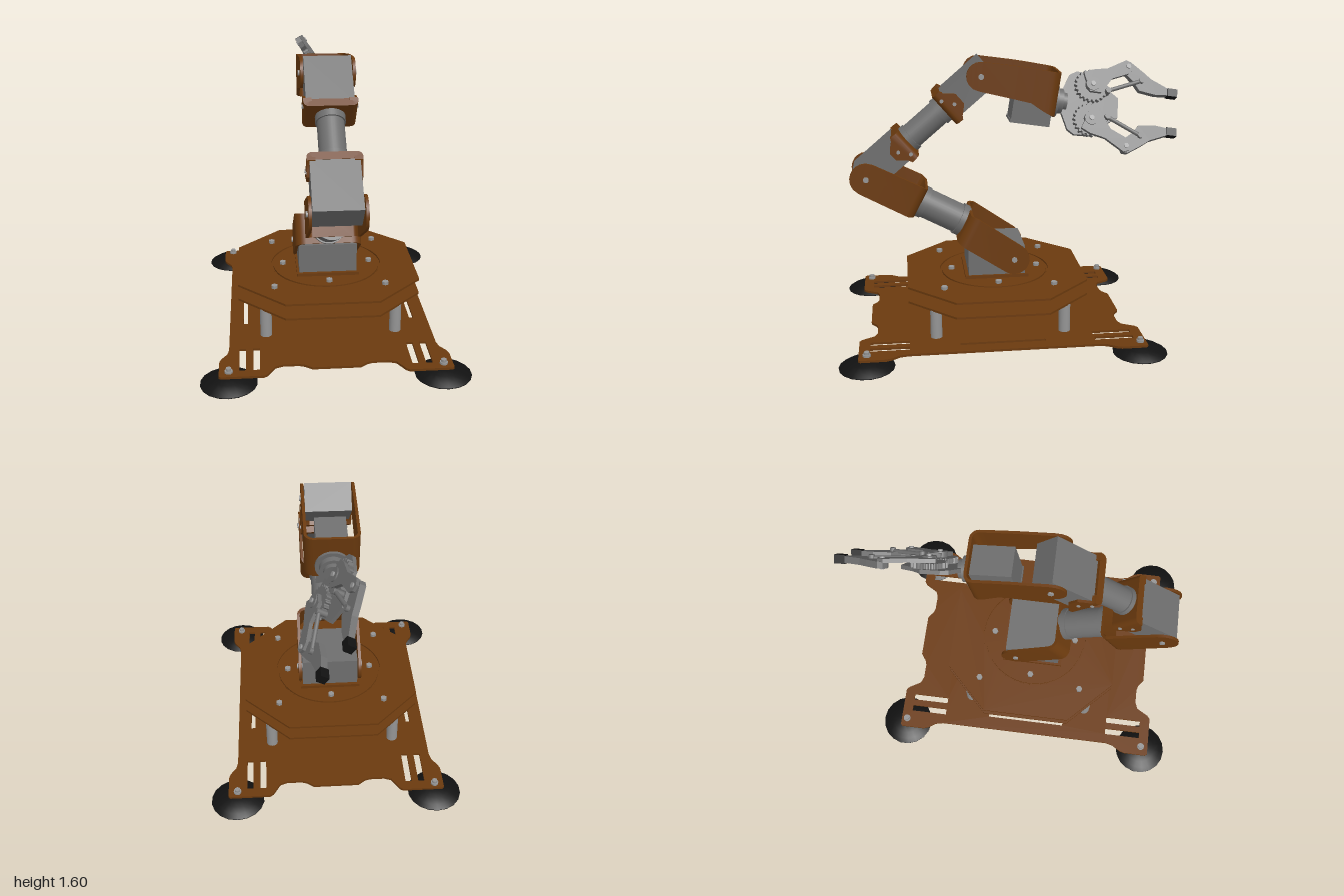
import * as THREE from 'three';
import { toCreasedNormals } from 'three/addons/utils/BufferGeometryUtils.js';

const mat = (name, color) => Object.assign(new THREE.MeshStandardMaterial({ color }), { name });
const V = (x, y, z) => new THREE.Vector3(x, y, z);
const CZ = 0.085; // centre of the base in z

export function createModel() {
  const brown = mat('brown panel', 0x6b3a0e);
  const grey = mat('servo grey', 0x6e6e6e);
  const steel = mat('steel', 0x949494);
  const black = mat('black rubber', 0x111111);
  const root = new THREE.Group();
  root.name = 'robotArm';

  const add = (parent, name, geo, material, x = 0, y = 0, z = 0) => {
    const m = new THREE.Mesh(geo, material);
    m.name = name;
    m.position.set(x, y, z);
    parent.add(m);
    return m;
  };
  const group = (parent, name, x = 0, y = 0, z = 0) => {
    const g = new THREE.Group();
    g.name = name;
    g.position.set(x, y, z);
    parent.add(g);
    return g;
  };
  const box = (p, name, m, x0, x1, y0, y1, z0, z1) =>
    add(p, name, new THREE.BoxGeometry(x1 - x0, y1 - y0, z1 - z0), m, (x0 + x1) / 2, (y0 + y1) / 2, (z0 + z1) / 2);
  const cylY = (p, name, m, r, y0, y1, x, z, n = 24) =>
    add(p, name, new THREE.CylinderGeometry(r, r, y1 - y0, n), m, x, (y0 + y1) / 2, z);
  const cylX = (p, name, m, r, x0, x1, y = 0) =>
    add(p, name, new THREE.CylinderGeometry(r, r, x1 - x0, 32).rotateZ(Math.PI / 2), m, (x0 + x1) / 2, y, 0);
  const cylZ = (p, name, m, r, z0, z1, x, y, n = 12) =>
    add(p, name, new THREE.CylinderGeometry(r, r, z1 - z0, n).rotateX(Math.PI / 2), m, x, y, (z0 + z1) / 2);
  const shapeOf = (pts) => new THREE.Shape(pts.map(([x, y]) => new THREE.Vector2(x, y)));
  const extrude = (shape, depth) => new THREE.ExtrudeGeometry(shape, { depth, bevelEnabled: false, curveSegments: 32 });
  // horizontal plate drawn in x and z, hanging down from topY
  const slab = (name, shape, depth, topY) =>
    add(root, name, extrude(shape, depth).rotateX(Math.PI / 2), brown, 0, topY, CZ);

  // U-shaped bracket: profile rows are [u, lowV, highV]; the cross web lies at u = L
  function bracket(parent, name, w, L, c, t, prof) {
    const range = (u) => {
      let i = 0;
      while (i < prof.length - 2 && u > prof[i + 1][0]) i++;
      const [a, b] = [prof[i], prof[i + 1]];
      const k = Math.min(1, Math.max(0, (u - a[0]) / (b[0] - a[0])));
      return [a[1] + (b[1] - a[1]) * k, a[2] + (b[2] - a[2]) * k];
    };
    const half = prof.filter((p) => p[0] < L - c - 0.001).map((p) => [p[0], w, 0, 1]);
    for (let i = 0; i <= 6; i++) {
      const a = (i / 6) * Math.PI / 2, s = Math.sin(a), k = Math.cos(a);
      half.push([L - c + c * s, w - c + c * k, s, k]);
    }
    const path = [...half, ...half.slice().reverse().map(([u, l, s, k]) => [u, -l, s, -k])];
    const pos = [], idx = [];
    path.forEach(([u, l, nu, nl], i) => {
      const [lo, hi] = range(u);
      const ui = u - nu * t, li = l - nl * t;
      pos.push(u, lo, l, u, hi, l, ui, hi, li, ui, lo, li);
      if (i === path.length - 1) return;
      for (let j = 0; j < 4; j++) {
        const a = i * 4 + j, b = i * 4 + ((j + 1) % 4), d = a + 4, e = b + 4;
        idx.push(a, d, b, b, d, e);
      }
    });
    const n = (path.length - 1) * 4;
    idx.push(0, 1, 2, 0, 2, 3, n, n + 2, n + 1, n, n + 3, n + 2);
    const g = new THREE.BufferGeometry();
    g.setAttribute('position', new THREE.Float32BufferAttribute(pos, 3));
    g.setIndex(idx);
    return add(parent, name, toCreasedNormals(g, 0.6), brown);
  }
  const roundEnd = (r) => [-0.99, -0.92, -0.75, -0.45, 0].map((k) => [k * r, -r * Math.sqrt(1 - k * k), r * Math.sqrt(1 - k * k)]);
  // group whose x axis runs along the limb and whose z axis lies across it
  const limb = (name, y, z, uy, uz, sign) => {
    const g = group(root, name, 0, y, z);
    const u = V(0, uy, uz).normalize(), across = V(sign, 0, 0);
    g.setRotationFromMatrix(new THREE.Matrix4().makeBasis(u, across.clone().cross(u), across));
    return g;
  };
  const pivotBolt = (p, w) => cylZ(p, 'pivotBolt', steel, 0.016, -w, w, 0, 0);

  // ---- base plate with slots ----
  const quarter = [[0.575, 0.53], [0.585, 0.575], [0.615, 0.62], [0.625, 0.65], [0.625, 0.79], [0.615, 0.8],
    [0.385, 0.8], [0.365, 0.785], [0.325, 0.715], [0.285, 0.7], [0.2, 0.7], [0.17, 0.71], [0.13, 0.74]];
  const flip = (pts, sx, sz) => pts.map(([x, z]) => [x * sx, z * sz]);
  const rev = [...quarter].reverse();
  const base = shapeOf([...quarter, ...flip(rev, -1, 1), ...flip(quarter, -1, -1), ...flip(rev, 1, -1)]);
  const slot = (x, z, w, l) => base.holes.push(new THREE.Path(
    [[-w, -l], [-w, l], [w, l], [w, -l]].map(([a, b]) => new THREE.Vector2(x + a, z + b))));
  for (const sx of [1, -1]) {
    slot(sx * 0.485, 0, 0.012, 0.24);
    for (const sz of [1, -1]) {
      slot(sx * 0.425, sz * 0.63, 0.018, 0.11);
      slot(sx * 0.5, sz * 0.63, 0.018, 0.11);
    }
  }
  slab('basePlate', base, 0.013, 0.063);

  // ---- feet, corner nuts, posts, deck bolts ----
  const footProfile = [[0, 0], [0.153, 0], [0.153, 0.004], [0.125, 0.022], [0.09, 0.037], [0.05, 0.047], [0, 0.05]]
    .map(([x, y]) => new THREE.Vector2(x, y));
  for (const sx of [1, -1]) for (const sz of [1, -1]) {
    const x = sx * 0.573, z = 0.08 + sz * 0.76;
    add(root, 'foot', toCreasedNormals(new THREE.LatheGeometry(footProfile, 18), 0.5), black, x, 0, z);
    cylY(root, 'footWasher', steel, 0.022, 0.063, 0.075, x, z, 12);
    cylY(root, 'footNut', steel, 0.016, 0.075, 0.09, x, z, 6);
    cylY(root, 'post', steel, 0.033, 0.063, 0.23, sx * 0.368, CZ + sz * 0.368);
    cylY(root, 'deckBolt', steel, 0.019, 0.327, 0.345, sx * 0.315, CZ + sz * 0.315, 6);
  }
  for (const [x, z] of [[1, 0], [-1, 0], [0, 1], [0, -1]])
    cylY(root, 'turntableBolt', steel, 0.019, 0.327, 0.345, x * 0.257, CZ + z * 0.257, 6);

  // ---- octagonal decks and turntable ----
  const oct = [[0.52, -0.26], [0.52, 0.26], [0.26, 0.52], [-0.26, 0.52], [-0.52, 0.26], [-0.52, -0.26], [-0.26, -0.52], [0.26, -0.52]];
  slab('lowerDeck', shapeOf(oct), 0.012, 0.24);
  const upper = shapeOf(oct);
  upper.holes.push(new THREE.Path().absarc(0, 0, 0.326, 0, Math.PI * 2, true));
  slab('upperDeck', upper, 0.012, 0.327);
  cylY(root, 'turntableRing', brown, 0.318, 0.238, 0.318, 0, CZ, 48);
  cylY(root, 'turntableDisc', brown, 0.314, 0.318, 0.328, 0, CZ, 48);
  add(root, 'bearingRim', new THREE.RingGeometry(0.316, 0.33, 48).rotateX(-Math.PI / 2), brown, 0, 0.317, CZ);
  box(root, 'baseMotorHousing', brown, -0.105, 0.105, 0.06, 0.23, CZ - 0.205, CZ + 0.205);
  box(root, 'turretPlate', brown, -0.18, 0.18, 0.325, 0.346, CZ - 0.185, CZ + 0.185);
  box(root, 'shoulderServo', grey, -0.167, 0.167, 0.346, 0.515, CZ - 0.165, CZ + 0.165);

  // ---- upper arm ----
  const upperArm = limb('upperArm', 0.44, -0.016, 0.469, 0.883, -1);
  bracket(upperArm, 'shoulderBracket', 0.19, 0.342, 0.06, 0.018, [...roundEnd(0.09), [0.3, -0.062, 0.125], [0.342, -0.055, 0.118]]);
  pivotBolt(upperArm, 0.2);
  cylX(upperArm, 'upperArmTube', grey, 0.088, 0.33, 0.63, 0.036);
  cylX(upperArm, 'upperArmCollar', grey, 0.096, 0.342, 0.375, 0.036);
  cylX(upperArm, 'upperArmCollar', grey, 0.096, 0.59, 0.628, 0.036);
  const elbow = group(upperArm, 'elbow', 0.972, 0.048, 0);
  elbow.rotation.z = Math.PI;
  bracket(elbow, 'elbowBracket', 0.15, 0.345, 0.05, 0.016, [...roundEnd(0.092), [0.31, -0.1, 0.095], [0.345, -0.093, 0.09]]);
  pivotBolt(elbow, 0.16);

  // ---- forearm ----
  const forearm = limb('forearm', 0.938, 0.82, 0.65, -0.76, 1);
  const collar = [[0.2, -0.03, 0.02], [0.225, -0.055, 0.045], [0.25, -0.075, 0.065], [0.262, -0.102, 0.085], [0.312, -0.098, 0.083]];
  box(forearm, 'elbowServo', grey, -0.029, 0.27, -0.085, 0.081, -0.13, 0.13);
  bracket(forearm, 'forearmLowerCollar', 0.145, 0.312, 0.03, 0.045, collar);
  cylX(forearm, 'forearmTube', grey, 0.074, 0.3, 0.6, -0.01);
  cylX(forearm, 'forearmRing', grey, 0.082, 0.312, 0.34, -0.01);
  cylX(forearm, 'forearmRing', grey, 0.082, 0.545, 0.585, -0.01);
  const wristMount = group(forearm, 'wristMount', 0.87, 0.007, 0);
  wristMount.rotation.z = Math.PI;
  bracket(wristMount, 'forearmUpperCollar', 0.145, 0.285, 0.03, 0.045,
    collar.map(([u, lo, hi]) => [u - 0.027, lo + 0.01, hi + 0.03]));
  box(forearm, 'wristServo', grey, 0.62, 0.925, -0.083, 0.078, -0.13, 0.13);
  for (const [u, v] of [[0.24, -0.005], [0.285, -0.06], [0.655, -0.01], [0.612, 0.05]])
    cylZ(forearm, 'collarScrew', steel, 0.011, -0.149, 0.149, u, v);

  // ---- wrist ----
  const wrist = limb('wrist', 1.506, 0.166, -0.15, -0.988, 1);
  bracket(wrist, 'wristBracket', 0.15, 0.452, 0.05, 0.016,
    [...roundEnd(0.082), [0.2, -0.1, 0.085], [0.3, -0.11, 0.083], [0.38, -0.15, 0.08], [0.452, -0.176, 0.078]]);
  pivotBolt(wrist, 0.16);
  box(wrist, 'gripperServo', grey, 0.21, 0.436, -0.235, 0.03, -0.086, 0.086);
  box(wrist, 'gripperServoFlange', grey, 0.205, 0.436, -0.243, -0.228, -0.09, 0.09);

  // ---- gripper, rolled about the wrist axis ----
  const gripper = group(wrist, 'gripper', 0.45, -0.1, 0);
  gripper.rotation.x = -31 * Math.PI / 180;
  cylX(gripper, 'wristFlange', grey, 0.095, 0, 0.018);
  cylX(gripper, 'wristHorn', grey, 0.072, 0.018, 0.05);
  cylX(gripper, 'wristHub', grey, 0.052, 0.05, 0.075);
  const palm = [[0.04, 0.05], [0.09, 0.17], [0.13, 0.195], [0.24, 0.19], [0.3, 0.12], [0.385, 0.06]];
  add(gripper, 'palmPlate', extrude(shapeOf([...palm, ...flip([...palm].reverse(), 1, -1)]), 0.022), grey, 0, 0, -0.012);
  const gear = [];
  for (let i = 0; i < 88; i++) {
    const a = (i / 88) * Math.PI * 2, r = i % 4 < 2 ? 0.1 : 0.088;
    gear.push([Math.cos(a) * r, Math.sin(a) * r]);
  }
  const gearGeo = extrude(shapeOf(gear), 0.03);
  const link = [[0.16, 0.17], [0.21, 0.195], [0.3, 0.215], [0.41, 0.282], [0.445, 0.27], [0.455, 0.235], [0.43, 0.2], [0.33, 0.155], [0.27, 0.06], [0.2, 0.06]];
  const finger = [[0.395, 0.25], [0.41, 0.28], [0.44, 0.282], [0.52, 0.228], [0.57, 0.19], [0.68, 0.142],
    [0.68, 0.104], [0.6, 0.095], [0.5, 0.108], [0.46, 0.16], [0.4, 0.215]];
  for (const s of [1, -1]) {
    const side = s > 0 ? 'upper' : 'lower';
    const outline = (pts) => shapeOf(flip(s > 0 ? pts : [...pts].reverse(), 1, s));
    add(gripper, side + 'Gear', gearGeo, grey, 0.215, s * 0.105, 0.014);
    add(gripper, side + 'FingerLink', extrude(outline(link), 0.022), grey, 0, 0, 0.046);
    add(gripper, side + 'Finger', extrude(outline(finger), 0.036), grey, 0, 0, 0.016);
    cylZ(gripper, side + 'GearHub', grey, 0.04, 0.04, 0.075, 0.215, s * 0.105, 20);
    cylZ(gripper, side + 'GearScrew', steel, 0.014, 0.07, 0.084, 0.215, s * 0.105);
    cylZ(gripper, side + 'KnucklePin', steel, 0.014, 0.01, 0.076, 0.425, s * 0.245);
    box(gripper, side + 'FingerTip', black, 0.67, 0.73, s * 0.122 - 0.024, s * 0.122 + 0.024, 0.01, 0.058);
    const rod = new THREE.LineCurve3(V(0.31, s * 0.08, 0.055), V(0.51, s * 0.17, 0.055));
    add(gripper, side + 'Rod', new THREE.TubeGeometry(rod, 1, 0.012, 10), grey);
    cylZ(gripper, side + 'RodPin', grey, 0.017, 0, 0.072, 0.31, s * 0.08);
    cylZ(gripper, side + 'RodPin', grey, 0.017, 0.03, 0.072, 0.51, s * 0.17);
  }
  return root;
}
